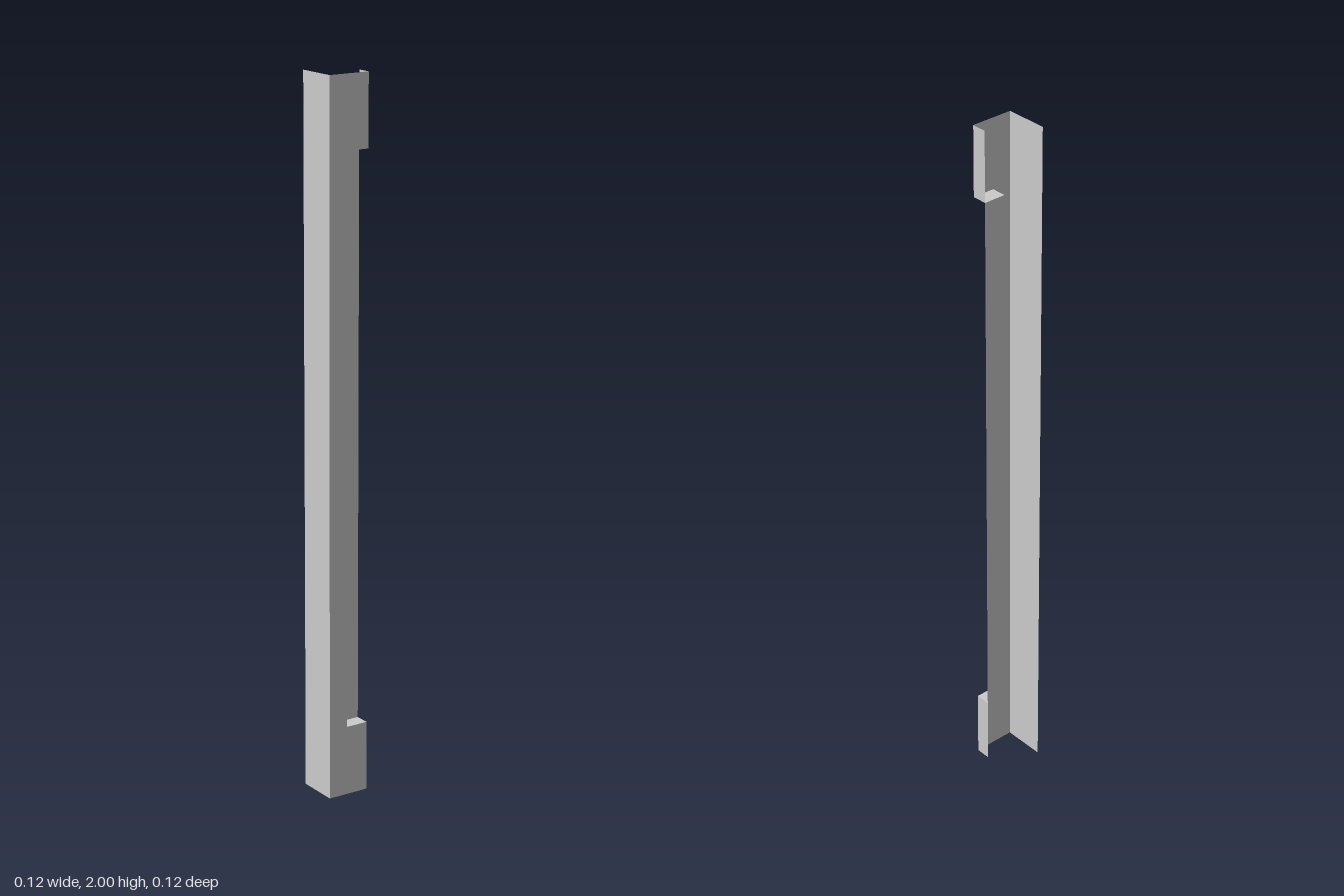
import * as THREE from 'three';

const HALF = 0.061;          // half width and half depth
const HEIGHT = 2;
const LOW = 0.2, HIGH = 1.8; // notch ends
const NX = -0.004;           // inner side of the notch
const NZ = 0.018;            // back of the notch and rim of the short flange

export function createModel() {
  const group = new THREE.Group();
  const material = new THREE.MeshStandardMaterial({
    color: 0xcccccc, side: THREE.DoubleSide, flatShading: true,
  });

  const add = (name, geometry, x, y, z) => {
    const mesh = new THREE.Mesh(geometry, material);
    mesh.name = name;
    mesh.position.set(x, y, z);
    group.add(mesh);
  };

  // Sheet facing +x, between two depths and two heights
  const sideSheet = (name, x, z0, z1, y0, y1) =>
    add(name, new THREE.PlaneGeometry(z1 - z0, y1 - y0).rotateY(Math.PI / 2),
      x, (y0 + y1) / 2, (z0 + z1) / 2);

  // Front sheet with the long notch cut into its edge
  const front = new THREE.Shape([
    [-HALF, 0], [HALF, 0], [HALF, LOW], [NX, LOW],
    [NX, HIGH], [HALF, HIGH], [HALF, HEIGHT], [-HALF, HEIGHT],
  ].map(([x, y]) => new THREE.Vector2(x, y)));
  add('frontPlate', new THREE.ShapeGeometry(front), 0, 0, HALF);

  // Full-depth flange, and the short flange left above and below the notch
  sideSheet('longFlange', -HALF, -HALF, HALF, 0, HEIGHT);
  sideSheet('lowerShortFlange', HALF, NZ, HALF, 0, LOW);
  sideSheet('upperShortFlange', HALF, NZ, HALF, HIGH, HEIGHT);

  // Recess: side, back and two end ledges
  sideSheet('recessSide', NX, NZ, HALF, LOW, HIGH);
  const width = HALF - NX, midX = (HALF + NX) / 2;
  add('recessBack', new THREE.PlaneGeometry(width, HIGH - LOW), midX, (LOW + HIGH) / 2, NZ);
  for (const [name, y, turn] of [['lowerLedge', LOW, -1], ['upperLedge', HIGH, 1]]) {
    add(name, new THREE.PlaneGeometry(width, HALF - NZ).rotateX(turn * Math.PI / 2),
      midX, y, (HALF + NZ) / 2);
  }

  return group;
}
